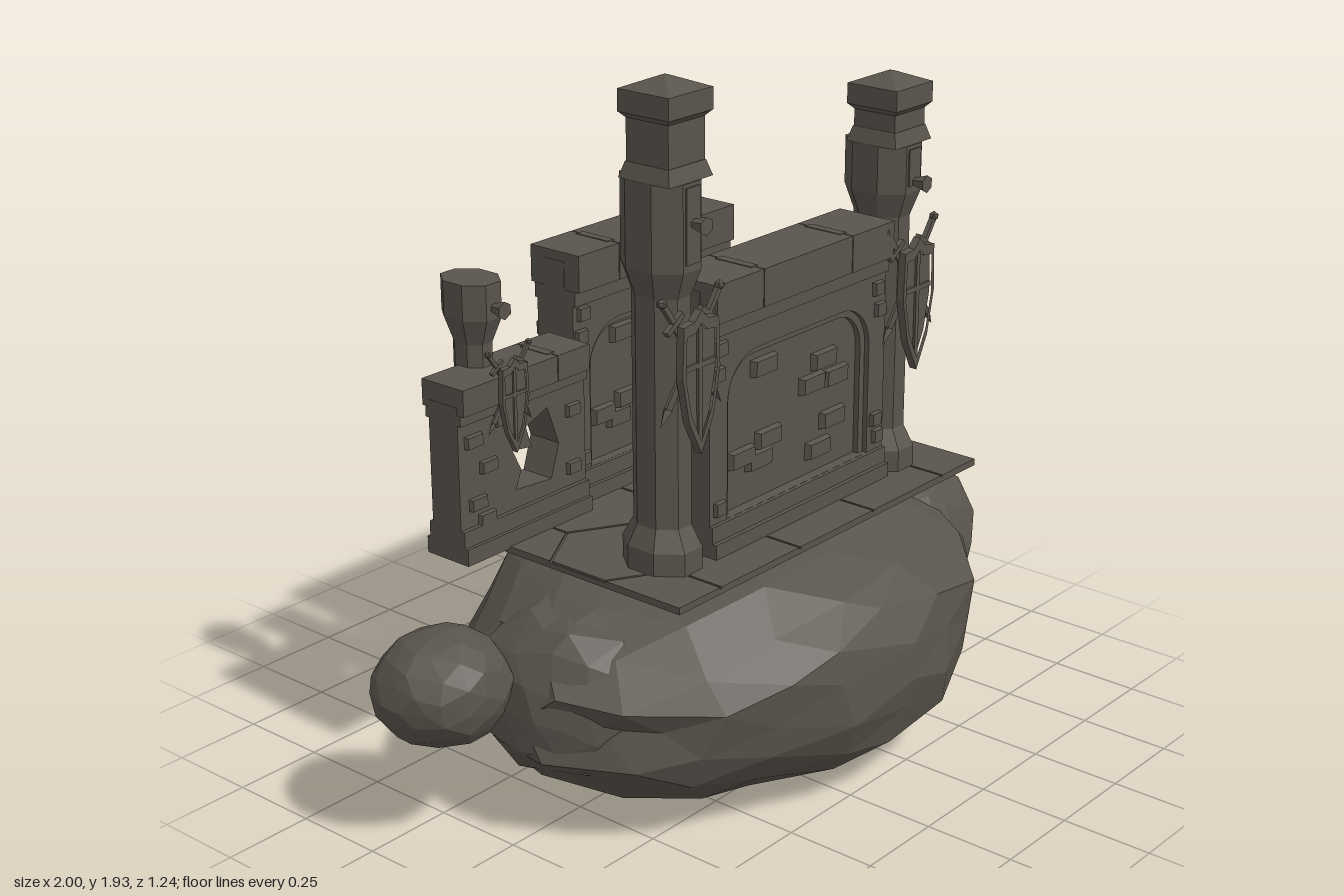
import * as THREE from 'three';

const stone = new THREE.MeshStandardMaterial({ color: 0x59544c, flatShading: true });
stone.name = 'darkStone';

function add(parent, geo, name, x = 0, y = 0, z = 0) {
  const m = new THREE.Mesh(geo, stone);
  m.name = name;
  m.position.set(x, y, z);
  parent.add(m);
  return m;
}
function group(parent, name, x = 0, y = 0, z = 0) {
  const g = new THREE.Group();
  g.name = name;
  g.position.set(x, y, z);
  parent.add(g);
  return g;
}
const box = (w, h, d) => new THREE.BoxGeometry(w, h, d);
const poly = pts => new THREE.Shape(pts.map(p => new THREE.Vector2(p[0], p[1])));
const extrude = (shape, depth) =>
  new THREE.ExtrudeGeometry(shape, { depth, bevelEnabled: false, curveSegments: 5 });

// Faceted boulder: superellipsoid (plan power a, upright power b) with hashed corner jitter
function boulder(parent, name, [x, y, z], [rx, ry, rz], detail, seed, [a, b], rough = 0.1) {
  const geo = new THREE.IcosahedronGeometry(1, detail);
  const p = geo.attributes.position, v = new THREE.Vector3();
  for (let i = 0; i < p.count; i++) {
    v.fromBufferAttribute(p, i).normalize();
    const r = v.toArray().map(c => Math.round(c * 1000) / 1000 + 0);
    const hash = n => {
      const s = Math.sin(r[0] * 127.1 + r[1] * 311.7 + r[2] * 74.7 + (seed + n) * 17.3) * 43758.5453;
      return s - Math.floor(s);
    };
    const slide = 0.4 / (detail + 1);
    v.x += slide * (hash(0.31) - 0.5);
    v.y += slide * (hash(0.57) - 0.5);
    v.z += slide * (hash(0.83) - 0.5);
    const plan = Math.pow(Math.abs(v.x) ** a + Math.abs(v.z) ** a, b / a);
    const k = Math.pow(plan + Math.abs(v.y) ** b, -1 / b);
    v.multiplyScalar(k * (1.045 - rough * hash(0)));
    p.setXYZ(i, v.x * rx, THREE.MathUtils.clamp(v.y * ry, 0.005 - y, 0.668 - y), v.z * rz);
  }
  geo.computeVertexNormals();
  add(parent, geo, name, x, y, z);
}

// Chamfered brick whose face points to +z
function brick(parent, x, y, z, w, h, d = 0.02) {
  const geo = new THREE.CylinderGeometry(0.6, 0.7071, 1, 4).rotateY(Math.PI / 4).rotateX(Math.PI / 2);
  geo.scale(w, h, d);
  return add(parent, geo, 'brick', x, y, z);
}

function archPath(half, y0, y1, r, Type) {
  const s = new Type();
  s.moveTo(-half, y0);
  s.lineTo(half, y0);
  s.lineTo(half, y1 - r);
  s.absarc(half - r, y1 - r, r, 0, Math.PI / 2, false);
  s.absarc(-half + r, y1 - r, r, Math.PI / 2, Math.PI, false);
  s.closePath();
  return s;
}

// Plinth, coping and joint stones shared by all walls
function trim(g, w, h, d, capH, joints) {
  add(g, box(w, 0.045, d), 'plinth', 0, 0.0225, 0);
  add(g, box(w, 0.045, d * 0.86), 'plinthStep', 0, 0.067, 0);
  add(g, box(w, capH * 0.4, d * 0.84), 'copingBand', 0, h - capH * 1.2, 0);
  const edges = [-w / 2, ...joints, w / 2];
  for (let i = 0; i < edges.length - 1; i++) {
    const a = edges[i], b = edges[i + 1];
    add(g, box(b - a - 0.003, capH, d), 'copingBlock', (a + b) / 2, h - capH / 2, 0);
  }
  for (const x of joints) brick(g, x, h - 0.003, 0, 0.03, d * 0.75, 0.01).rotation.x = -Math.PI / 2;
}

const ARCH_BRICKS = [[-0.12, 0.45], [0.08, 0.345], [0.13, 0.4], [0.18, 0.34], [-0.21, 0.225],
  [-0.1, 0.25], [-0.14, 0.2], [0.17, 0.225], [0.11, 0.155]];
const EDGE_BRICKS = [[-0.325, 0.555], [-0.335, 0.49], [-0.33, 0.13], [0.325, 0.55], [0.335, 0.13],
  [0.325, 0.18], [0.335, 0.49]];

// Tall wall with a rounded recess and bricks on both sides
function archWall(parent, name, x, z, w, h, d) {
  const g = group(parent, name, x, 0.68, z);
  const k = w / 0.73, s = h / 0.73, top = h - 0.14;
  trim(g, w, h, d, 0.1, [-0.25 * w, 0.25 * w]);
  add(g, box(w, h - 0.05, d * 0.4), 'wallCore', 0, h / 2, 0);
  for (const side of [0, 1]) {
    const f = group(g, side ? 'backFace' : 'frontFace');
    f.rotation.y = side * Math.PI;
    const plate = poly([[-w / 2, 0.05], [w / 2, 0.05], [w / 2, top], [-w / 2, top]]);
    plate.holes.push(archPath(0.295 * k, 0.09, h - 0.21, 0.12, THREE.Path));
    add(f, extrude(plate, d * 0.17), 'archSurround', 0, 0, d * 0.2);
    const ring = archPath(0.296 * k, 0.088, h - 0.209, 0.12, THREE.Shape);
    ring.holes.push(archPath(0.275 * k, 0.09, h - 0.23, 0.1, THREE.Path));
    add(f, extrude(ring, d * 0.09), 'archStep', 0, 0, d * 0.2);
    for (const [bx, by] of ARCH_BRICKS) brick(f, bx * k, by * s, d * 0.2 + 0.008, 0.1 * k, 0.048);
    for (const [bx, by] of EDGE_BRICKS) brick(f, bx * k, by * s, d * 0.37 + 0.003, 0.042, 0.04);
  }
}

// Low wall with a broken opening
function brokenWall(parent, name, x, w, h, hole, bricks) {
  const g = group(parent, name, x, 0.68, -0.29), d = 0.145;
  trim(g, w, h, d, 0.07, [0.11]);
  const body = poly([[-w / 2, 0.05], [w / 2, 0.05], [w / 2, h - 0.05], [-w / 2, h - 0.05]]);
  body.holes.push(new THREE.Path(hole.map(p => new THREE.Vector2(p[0], p[1]))));
  add(g, extrude(body, 0.1), 'wallBody', 0, 0, -0.05);
  for (const side of [0, 1]) {
    const f = group(g, side ? 'backBricks' : 'frontBricks');
    f.rotation.y = side * Math.PI;
    for (const [bx, by, bw] of bricks) brick(f, side ? -bx : bx, by, 0.053, bw, 0.035);
  }
}

// Eight-sided column from [radius, y] rings, flats facing front
function column(parent, name, rings, sz) {
  const pts = rings.map(([r, y]) => new THREE.Vector2(r / Math.cos(Math.PI / 8), y));
  const geo = new THREE.LatheGeometry(pts, 8).rotateY(Math.PI / 8).toNonIndexed();
  geo.scale(1, 1, sz);
  geo.computeVertexNormals();
  add(parent, geo, name);
}
const square = (rt, rb, h) =>
  new THREE.CylinderGeometry(rt * Math.SQRT2, rb * Math.SQRT2, h, 4).rotateY(Math.PI / 4);

// Shield over two crossed swords, facing +z
function emblem(parent, x, y, z, s) {
  const g = group(parent, 'shieldAndSwords', x, y, z);
  g.scale.setScalar(s);
  const outline = k => poly([[0, 0.18], [0.025, 0.155], [0.065, 0.15], [0.07, 0.02], [0.045, -0.1],
    [0, -0.19], [-0.045, -0.1], [-0.07, 0.02], [-0.065, 0.15], [-0.025, 0.155]].map(p => [p[0] * k, p[1] * k]));
  const rim = outline(1);
  rim.holes.push(outline(0.82));
  add(g, extrude(rim, 0.022), 'shieldRim', 0, 0, 0.012);
  add(g, extrude(outline(0.9), 0.012), 'shieldFace', 0, 0, 0.012);
  add(g, box(0.014, 0.3, 0.01), 'shieldUpright', 0, -0.01, 0.026);
  add(g, box(0.115, 0.014, 0.01), 'shieldCrossbar', 0, 0.04, 0.026);
  for (const side of [-1, 1]) {
    const sword = group(g, 'sword', 0, 0.07, side * 0.004);
    sword.rotation.z = -side * 0.62;
    add(sword, box(0.022, 0.26, 0.008), 'blade', 0, -0.03, 0);
    add(sword, new THREE.ConeGeometry(0.014, 0.05, 4).rotateX(Math.PI), 'bladeTip', 0, -0.18, 0);
    add(sword, box(0.07, 0.014, 0.016), 'guard', 0, 0.1, 0);
    add(sword, box(0.014, 0.07, 0.014), 'grip', 0, 0.135, 0);
    add(sword, new THREE.IcosahedronGeometry(0.014, 0), 'pommel', 0, 0.175, 0);
  }
}
function hook(parent, x, y, z) {
  const peg = new THREE.CylinderGeometry(0.024, 0.01, 0.045, 6).rotateX(Math.PI / 2);
  add(parent, peg, 'wallPeg', x, y, z);
}

// Front tower pillar; bandTop is the height where the wide octagon ends
function tower(parent, name, x, bandTop, peak) {
  const g = group(parent, name, x, 0, 0.14);
  column(g, 'pillarShaft', [[0, 0.68], [0.083, 0.68], [0.083, 0.745], [0.06, 0.8], [0.06, 1.4],
    [0.081, 1.47], [0.081, bandTop], [0, bandTop]], 1.24);
  for (const side of [-1, 1]) add(g, box(0.05, bandTop - 1.5, 0.01), 'bandPanel', 0, bandTop / 2 + 0.74, side * 0.1);
  const t = group(g, 'pillarTop', 0, 0, 0.017);
  add(t, square(0.068, 0.08, 0.04), 'neckMoulding', 0, bandTop + 0.02, 0);
  add(t, square(0.066, 0.066, peak - bandTop - 0.06), 'neck', 0, (peak + bandTop) / 2 - 0.03, 0);
  add(t, square(0.08, 0.066, 0.015), 'capFlare', 0, peak - 0.092, 0);
  add(t, square(0.08, 0.08, 0.055), 'capBlock', 0, peak - 0.0575, 0);
  add(t, square(0.008, 0.08, 0.03), 'capRoof', 0, peak - 0.015, 0);
  hook(g, 0, bandTop - 0.1, 0.122);
}

export function createModel() {
  const root = new THREE.Group();
  root.name = 'ruinOnRock';

  // Boulders
  boulder(root, 'mainBoulder', [0.09, 0.34, 0], [0.81, 0.335, 0.625], 3, 1, [1.85, 2.4], 0.09);
  boulder(root, 'rightBoulder', [0.755, 0.375, 0.03], [0.25, 0.25, 0.28], 2, 2, [2, 2.2]);
  boulder(root, 'leftBoulder', [-0.49, 0.36, 0], [0.25, 0.23, 0.27], 2, 3, [2, 2.4]);
  boulder(root, 'smallBoulder', [-0.82, 0.43, -0.16], [0.18, 0.142, 0.172], 2, 4, [2.05, 2.05], 0.07);

  // Floor slab with hexagonal tiles trimmed at its edges
  const floor = group(root, 'floor');
  add(floor, box(1.26, 0.014, 0.73), 'floorSlab', 0.12, 0.673, -0.015);
  const clamp = THREE.MathUtils.clamp, R = 0.1779;
  for (let row = -1; row <= 1; row++) {
    for (let i = 0; i < 5; i++) {
      const cx = -0.51 + 0.315 * (i + (row ? 0 : 0.5)), cz = 0.015 + row * 0.273;
      if (cx > 0.76) continue;
      const pts = [];
      for (let k = 0; k < 6; k++) {
        const a = Math.PI / 6 + k * Math.PI / 3;
        pts.push([clamp(cx + Math.cos(a) * R, -0.51, 0.75), -clamp(cz + Math.sin(a) * R, -0.38, 0.35)]);
      }
      add(floor, extrude(poly(pts), 0.006).rotateX(-Math.PI / 2), 'floorTile', 0, 0.679, 0);
    }
  }

  // Walls
  archWall(root, 'frontWall', 0.127, 0.15, 0.73, 0.73, 0.18);
  archWall(root, 'backWall', 0.125, -0.347, 0.63, 0.693, 0.17);
  brokenWall(root, 'rightBackWall', 0.6625, 0.445, 0.525,
    [[-0.08, 0.15], [0.1, 0.14], [0.14, 0.24], [0.1, 0.28], [0.13, 0.31], [0.04, 0.315], [0.08, 0.375],
      [-0.04, 0.38], [-0.1, 0.31], [-0.07, 0.25]],
    [[0.18, 0.4, 0.06], [0.165, 0.335, 0.06], [0.165, 0.16, 0.06], [0.1, 0.11, 0.06], [-0.16, 0.2, 0.06],
      [-0.15, 0.37, 0.06], [0.19, 0.11, 0.04]]);
  brokenWall(root, 'leftBackWall', -0.43, 0.46, 0.47,
    [[-0.03, 0.14], [0.1, 0.13], [0.13, 0.22], [0.09, 0.33], [0.01, 0.3], [0.03, 0.24], [-0.04, 0.25], [-0.01, 0.19]],
    [[-0.18, 0.32, 0.06], [-0.13, 0.24, 0.06], [-0.17, 0.15, 0.06], [-0.14, 0.1, 0.06], [-0.08, 0.35, 0.05],
      [0.18, 0.3, 0.05], [0.18, 0.14, 0.05]]);

  // Towers with their emblems
  tower(root, 'leftTower', -0.33, 1.69, 1.935);
  tower(root, 'rightTower', 0.57, 1.6, 1.785);
  emblem(root, -0.33, 1.2, 0.235, 1);
  emblem(root, 0.57, 1.17, 0.235, 1);

  // Short back pillar
  const post = group(root, 'backPillar', -0.49, 0, -0.35);
  column(post, 'pillarShaft', [[0, 0.68], [0.064, 0.68], [0.064, 0.73], [0.042, 0.78], [0.042, 1.21],
    [0.064, 1.28], [0.064, 1.374], [0, 1.374]], 1.25);
  hook(post, 0, 1.31, 0.095);
  emblem(post, 0, 1.07, 0.125, 0.68);
  return root;
}
